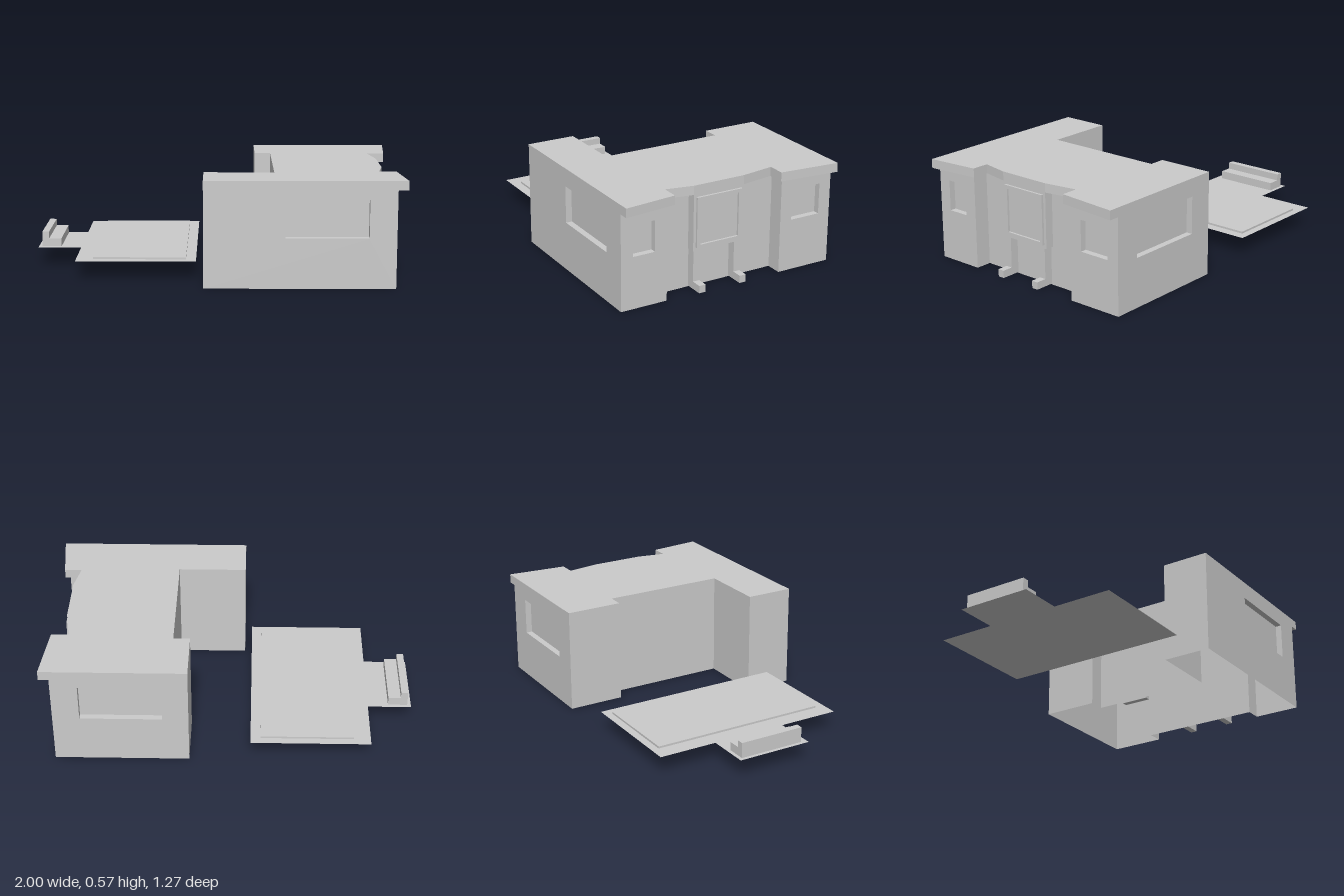
import * as THREE from 'three';

const solid = new THREE.MeshStandardMaterial({ color: 0xcccccc, flatShading: true });
const thin = new THREE.MeshStandardMaterial({ color: 0xcccccc, flatShading: true, side: THREE.DoubleSide });

const ROOF = 0.575;
const NICHE = 0.035;

function add(parent, name, geometry, material = solid) {
  const mesh = new THREE.Mesh(geometry, material);
  mesh.name = name;
  parent.add(mesh);
  return mesh;
}

// Box given by its limits on each axis
function block(parent, name, [x0, x1], [y0, y1], [z0, z1]) {
  const mesh = add(parent, name, new THREE.BoxGeometry(x1 - x0, y1 - y0, z1 - z0));
  mesh.position.set((x0 + x1) / 2, (y0 + y1) / 2, (z0 + z1) / 2);
  return mesh;
}

// Shape from plan points [x, z], laid flat by layFlat
const plan = (points) => new THREE.Shape(points.map(([x, z]) => new THREE.Vector2(x, -z)));
const layFlat = (geometry, y) => geometry.rotateX(-Math.PI / 2).translate(0, y, 0);

function rectangle(Type, u0, u1, y0, y1) {
  return new Type([[u0, y0], [u1, y0], [u1, y1], [u0, y1]].map(([u, y]) => new THREE.Vector2(u, y)));
}

// Inside-out box without its front: jambs, sill, head and pane of a window
function nicheGeometry(w, h, d) {
  const g = new THREE.BoxGeometry(w, h, d);
  const index = Array.from(g.index.array);
  index.splice(24, 6);
  g.setIndex(index.reverse());
  g.attributes.normal.array.forEach((v, i, a) => { a[i] = -v; });
  g.clearGroups();
  return g;
}

// Thin upright wall from plan point a to b, facing outward, with an optional window
function addWall(parent, a, b, opening) {
  const dx = b[0] - a[0], dz = b[1] - a[1];
  const group = new THREE.Group();
  group.name = 'wall';
  group.position.set(a[0], 0, a[1]);
  group.rotation.y = Math.atan2(-dz, dx);
  const shape = rectangle(THREE.Shape, 0, Math.hypot(dx, dz), 0, ROOF);
  if (opening) {
    const [u0, u1, y0, y1] = opening;
    shape.holes.push(rectangle(THREE.Path, u0, u1, y0, y1));
    const niche = add(group, 'windowNiche', nicheGeometry(u1 - u0, y1 - y0, NICHE), thin);
    niche.position.set((u0 + u1) / 2, (y0 + y1) / 2, -NICHE / 2);
  }
  add(group, 'wallPanel', new THREE.ShapeGeometry(shape), thin);
  parent.add(group);
}

function createBuilding() {
  const building = new THREE.Group();
  building.name = 'building';

  // U-shaped shell, open underneath
  const footprint = [
    [-0.07, 0.635], [0.945, 0.635], [0.945, 0.37], [0.855, 0.37], [0.855, -0.32], [0.945, -0.32],
    [0.945, -0.635], [0.22, -0.635], [0.22, -0.32], [0.31, -0.32], [0.31, 0.365], [-0.07, 0.365],
  ];
  const windows = {
    0: [0.43, 0.87, 0.27, 0.475],
    1: [0.07, 0.195, 0.285, 0.455],
    5: [0.07, 0.245, 0.285, 0.455],
    6: [0.145, 0.585, 0.27, 0.475],
  };
  footprint.forEach((p, i) => addWall(building, p, footprint[(i + 1) % footprint.length], windows[i]));
  add(building, 'roof', layFlat(new THREE.ShapeGeometry(plan(footprint)), ROOF), thin);

  // Overhanging cornice along the entrance side
  const cornice = [
    ...footprint.slice(1, 7),
    [1, -0.635], [0.97, -0.297], [0.875, -0.297], [0.905, -0.11],
    [0.905, 0.19], [0.875, 0.343], [0.97, 0.343], [1, 0.635],
  ];
  const corniceGeometry = new THREE.ExtrudeGeometry(plan(cornice), { depth: 0.05, bevelEnabled: false });
  add(building, 'cornice', layFlat(corniceGeometry, ROOF - 0.05));

  // Projecting bay with a framed window
  block(building, 'bay', [0.855, 0.904], [0.215, 0.525], [-0.11, 0.19]);
  const frame = rectangle(THREE.Shape, -0.175, 0.095, 0.235, 0.51);
  frame.holes.push(rectangle(THREE.Path, -0.155, 0.075, 0.25, 0.49));
  const frameGeometry = new THREE.ExtrudeGeometry(frame, { depth: 0.012, bevelEnabled: false });
  add(building, 'bayWindowFrame', frameGeometry.rotateY(Math.PI / 2).translate(0.904, 0, 0));

  // Legs under the bay, each with a foot
  for (const z of [[-0.097, -0.06], [0.15, 0.188]]) {
    block(building, 'bayLeg', [0.855, 0.904], [0.005, 0.215], z);
    block(building, 'bayFoot', [0.904, 0.965], [0.005, 0.046], z);
  }
  return building;
}

function createTerrace() {
  const terrace = new THREE.Group();
  terrace.name = 'terrace';
  const y = 0.106;

  // Thin paving sheet
  const paving = [
    [-1, -0.295], [-0.76, -0.295], [-0.76, -0.622], [-0.11, -0.622],
    [-0.11, 0.465], [-0.76, 0.465], [-0.76, 0.125], [-1, 0.125],
  ];
  add(terrace, 'paving', layFlat(new THREE.ShapeGeometry(plan(paving)), y), thin);

  // Raised slab
  block(terrace, 'slab', [-0.667, -0.165], [y, 0.117], [-0.58, 0.41]);

  // Bench: L-shaped section drawn out along z
  const section = [[-0.98, y], [-0.873, y], [-0.873, 0.152], [-0.942, 0.152], [-0.942, 0.19], [-0.98, 0.19]];
  const bench = new THREE.ExtrudeGeometry(
    new THREE.Shape(section.map(([u, v]) => new THREE.Vector2(u, v))),
    { depth: 0.365, bevelEnabled: false },
  );
  add(terrace, 'bench', bench.translate(0, 0, -0.275));
  return terrace;
}

export function createModel() {
  const model = new THREE.Group();
  model.name = 'houseWithTerrace';
  model.add(createBuilding(), createTerrace());
  return model;
}
